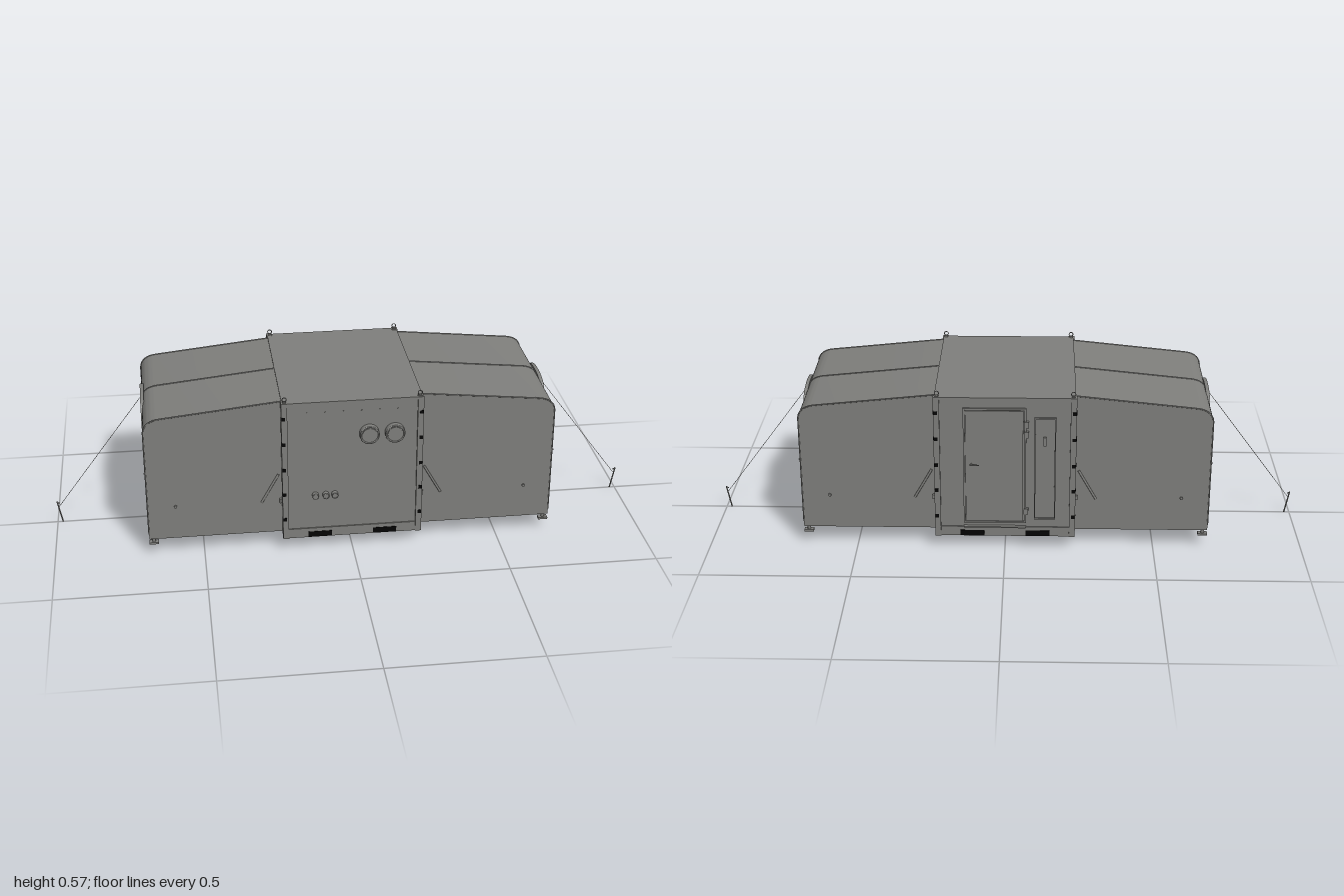
import * as THREE from 'three';
import { toCreasedNormals } from 'three/addons/utils/BufferGeometryUtils.js';

const mat = (name, color) => {
  const m = new THREE.MeshStandardMaterial({ color });
  m.name = name;
  return m;
};

export function createModel() {
  const shell = mat('shell grey', 0x7f7f7c);
  const black = mat('black', 0x030303);
  const root = new THREE.Group();
  root.name = 'expandableShelter';

  const add = (parent, name, geo, m, x = 0, y = 0, z = 0) => {
    const mesh = new THREE.Mesh(geo, m);
    mesh.name = name;
    mesh.position.set(x, y, z);
    parent.add(mesh);
    return mesh;
  };
  // Box given by its limits on each axis
  const box = (parent, name, m, x0, x1, y0, y1, z0, z1) =>
    add(parent, name, new THREE.BoxGeometry(x1 - x0, y1 - y0, z1 - z0), m,
      (x0 + x1) / 2, (y0 + y1) / 2, (z0 + z1) / 2);
  // Straight round bar between two points
  const bar = (parent, name, a, b, r, sides = 8) => {
    const A = new THREE.Vector3(...a), B = new THREE.Vector3(...b);
    const mesh = add(parent, name, new THREE.CylinderGeometry(r, r, A.distanceTo(B), sides), shell);
    mesh.position.copy(A).add(B).multiplyScalar(0.5);
    mesh.quaternion.setFromUnitVectors(new THREE.Vector3(0, 1, 0), B.sub(A).normalize());
    return mesh;
  };
  const disc = (parent, name, x, y, z, r, depth) => {
    const mesh = add(parent, name, new THREE.CylinderGeometry(r, r, depth, 28), shell, x, y, z);
    mesh.rotation.x = Math.PI / 2;
    return mesh;
  };

  // Central container, its floor recessed inside a rail frame
  const core = new THREE.Group();
  core.name = 'container';
  root.add(core);
  box(core, 'containerBody', shell, -0.222, 0.222, 0.075, 0.54, -0.283, 0.283);
  box(core, 'roofPanel', shell, -0.232, 0.232, 0.535, 0.549, -0.287, 0.287);
  for (const s of [-1, 1]) {
    box(core, 'endRail', shell, -0.215, 0.215, 0.045, 0.079, s * 0.279 - 0.008, s * 0.279 + 0.008);
    box(core, 'topRail', shell, -0.21, 0.21, 0.522, 0.54, s * 0.281 - 0.004, s * 0.281 + 0.004);
    box(core, 'sideRail', shell, s * 0.225 - 0.009, s * 0.225 + 0.009, 0.045, 0.079, -0.275, 0.275);
    for (const t of [-1, 1]) {
      // Corner post with fastener pads and a lifting eye
      box(core, 'cornerPost', shell, s * 0.225 - 0.01, s * 0.225 + 0.01, 0.045, 0.55, t * 0.279 - 0.0115, t * 0.279 + 0.0115);
      for (const y of [0.12, 0.215, 0.307, 0.402, 0.495]) {
        box(core, 'fastenerFront', black, s * 0.228 - 0.006, s * 0.228 + 0.006, y - 0.006, y + 0.006, t * 0.2905 - 0.0008, t * 0.2905 + 0.0008);
        box(core, 'fastenerSide', black, s * 0.235 - 0.0008, s * 0.235 + 0.0008, y - 0.006, y + 0.006, t * 0.28 - 0.006, t * 0.28 + 0.006);
      }
      box(core, 'eyeBase', shell, s * 0.223 - 0.006, s * 0.223 + 0.006, 0.55, 0.554, t * 0.279 - 0.006, t * 0.279 + 0.006);
      add(core, 'liftingEye', new THREE.TorusGeometry(0.007, 0.0014, 6, 16), shell, s * 0.223, 0.561, t * 0.279);
      // Fork pockets, open on both faces of each rail
      for (const z of [0.2875, 0.2705]) {
        box(core, 'forkPocketFront', black, s * 0.11 - 0.04, s * 0.11 + 0.04, 0.046, 0.066, t * z - 0.001, t * z + 0.001);
      }
      for (const x of [0.2345, 0.2155]) {
        box(core, 'forkPocketSide', black, s * x - 0.001, s * x + 0.001, 0.046, 0.06, t * 0.132 - 0.038, t * 0.132 + 0.038);
      }
    }
  }

  // Front ducts and sockets
  for (const x of [0.055, 0.14]) {
    disc(core, 'ductFlange', x, 0.425, 0.291, 0.033, 0.016);
    add(core, 'ductRim', new THREE.TorusGeometry(0.03, 0.003, 8, 32), shell, x, 0.425, 0.299);
    disc(core, 'ductCover', x, 0.425, 0.298, 0.025, 0.007);
  }
  for (const x of [-0.125, -0.09, -0.06]) {
    disc(core, 'socket', x, 0.205, 0.291, 0.011, 0.016);
    add(core, 'socketRim', new THREE.TorusGeometry(0.009, 0.002, 6, 20), shell, x, 0.205, 0.298);
  }
  for (let i = 0; i < 6; i++) disc(core, 'rivet', -0.15 + i * 0.06, 0.51, 0.284, 0.002, 0.004);

  // Rear door, frame and side panel
  box(core, 'doorPanel', shell, -0.06, 0.131, 0.102, 0.503, -0.288, -0.28);
  const rearFrame = (name, x0, x1, y0, y1, w) => {
    box(core, name, shell, x0, x0 + w, y0, y1, -0.29, -0.28);
    box(core, name, shell, x1 - w, x1, y0, y1, -0.29, -0.28);
    box(core, name, shell, x0, x1, y1 - w, y1, -0.29, -0.28);
    box(core, name, shell, x0, x1, y0, y0 + w, -0.29, -0.28);
  };
  rearFrame('doorFrame', -0.07, 0.138, 0.095, 0.512, 0.006);
  rearFrame('sidePanelFrame', -0.168, -0.097, 0.11, 0.48, 0.004);
  bar(core, 'handleStem', [0.112, 0.312, -0.287], [0.112, 0.312, -0.299], 0.003);
  bar(core, 'doorHandle', [0.116, 0.312, -0.298], [0.085, 0.312, -0.298], 0.002);
  for (const y of [0.14, 0.42, 0.455]) box(core, 'hinge', shell, -0.078, -0.063, y - 0.011, y + 0.011, -0.294, -0.283);
  box(core, 'sidePanelLatch', shell, -0.137, -0.127, 0.38, 0.41, -0.292, -0.283);
  box(core, 'doorStep', shell, -0.07, 0.138, 0.078, 0.083, -0.295, -0.28);

  // Fabric wing section: sloping roof and rounded eave
  const profile = new THREE.Shape();
  profile.moveTo(0.222, 0.06);
  profile.lineTo(0.683, 0.06);
  profile.lineTo(0.683, 0.455);
  profile.bezierCurveTo(0.683, 0.485, 0.662, 0.501, 0.632, 0.505);
  profile.lineTo(0.222, 0.547);
  profile.closePath();
  const wingGeo = toCreasedNormals(
    new THREE.ExtrudeGeometry(profile, { depth: 0.52, bevelEnabled: false, curveSegments: 14 }), 0.5);
  const pipingCurve = new THREE.CurvePath();
  const pt = (x, y) => new THREE.Vector3(x, y, 0);
  pipingCurve.add(new THREE.LineCurve3(pt(0.683, 0.08), pt(0.683, 0.455)));
  pipingCurve.add(new THREE.CubicBezierCurve3(pt(0.683, 0.455), pt(0.683, 0.485), pt(0.662, 0.501), pt(0.632, 0.505)));
  pipingCurve.add(new THREE.LineCurve3(pt(0.632, 0.505), pt(0.232, 0.546)));
  const pipingGeo = new THREE.TubeGeometry(pipingCurve, 90, 0.0025, 8);

  // Arched doorway flap edge, a flat band standing on the end wall
  const arch = new THREE.Shape();
  arch.moveTo(-0.103, 0.09);
  arch.lineTo(-0.103, 0.445);
  arch.bezierCurveTo(-0.103, 0.482, -0.05, 0.492, 0, 0.492);
  arch.bezierCurveTo(0.05, 0.492, 0.103, 0.482, 0.103, 0.445);
  arch.lineTo(0.103, 0.09);
  arch.lineTo(0.095, 0.09);
  arch.lineTo(0.095, 0.445);
  arch.bezierCurveTo(0.095, 0.474, 0.05, 0.484, 0, 0.484);
  arch.bezierCurveTo(-0.05, 0.484, -0.095, 0.474, -0.095, 0.445);
  arch.lineTo(-0.095, 0.09);
  arch.closePath();
  const archGeo = new THREE.ExtrudeGeometry(arch, { depth: 0.012, bevelEnabled: false, curveSegments: 14 });
  archGeo.rotateY(Math.PI / 2);

  for (const s of [1, -1]) {
    const wing = new THREE.Group();
    wing.name = s > 0 ? 'leftWing' : 'rightWing';
    wing.rotation.y = s > 0 ? 0 : Math.PI;
    root.add(wing);
    add(wing, 'fabricCover', wingGeo, shell, 0, 0, -0.26);
    for (const z of [-0.1, 0.1]) box(wing, 'floorSeam', shell, 0.236, 0.68, 0.057, 0.061, z - 0.002, z + 0.002);
    add(wing, 'doorwayArch', archGeo, shell, 0.675, 0, 0);
    // Centre zip with its ridge seam
    box(wing, 'zipStrip', shell, 0.68, 0.687, 0.08, 0.486, -0.005, 0.005);
    add(wing, 'ridgeSeam', pipingGeo, shell);
    box(wing, 'zipToggle', shell, 0.684, 0.69, 0.303, 0.316, 0.098, 0.106);
    for (const t of [-1, 1]) {
      add(wing, 'edgePiping', pipingGeo, shell, 0, 0, t * 0.2585);
      // Diagonal brace, eyelet and wall latch
      bar(wing, 'brace', [0.245, 0.278, t * 0.26], [0.303, 0.175, t * 0.26], 0.004);
      disc(wing, 'sideEyelet', 0.59, 0.18, t * 0.262, 0.005, 0.007);
      box(wing, 'wallLatch', shell, 0.236, 0.243, 0.173, 0.188, t * 0.266 - 0.004, t * 0.266 + 0.004);
      // Levelling foot and ground pin
      bar(wing, 'footStem', [0.668, 0.04, t * 0.248], [0.668, 0.064, t * 0.248], 0.006);
      box(wing, 'footPad', shell, 0.652, 0.684, 0.038, 0.045, t * 0.248 - 0.01, t * 0.248 + 0.01);
      bar(wing, 'groundPin', [0.678, 0.022, t * 0.196], [0.678, 0.064, t * 0.196], 0.003);
      bar(wing, 'eaveTie', [0.683, 0.31, t * 0.258], [0.688, 0.31, t * 0.258], 0.003);
    }
    box(wing, 'middleFoot', shell, 0.66, 0.684, 0.039, 0.045, -0.008, 0.008);
    bar(wing, 'middleFootStem', [0.672, 0.027, 0], [0.672, 0.064, 0], 0.004);
    // Guy rope and stake
    bar(wing, 'guyRope', [0.68, 0.475, 0], [0.99, 0.062, 0], 0.0008, 6);
    bar(wing, 'stake', [0.982, 0.001, 0], [0.997, 0.08, 0], 0.0024);
    bar(wing, 'stakeHook', [0.997, 0.078, 0], [0.988, 0.074, 0], 0.0018);
  }
  return root;
}
